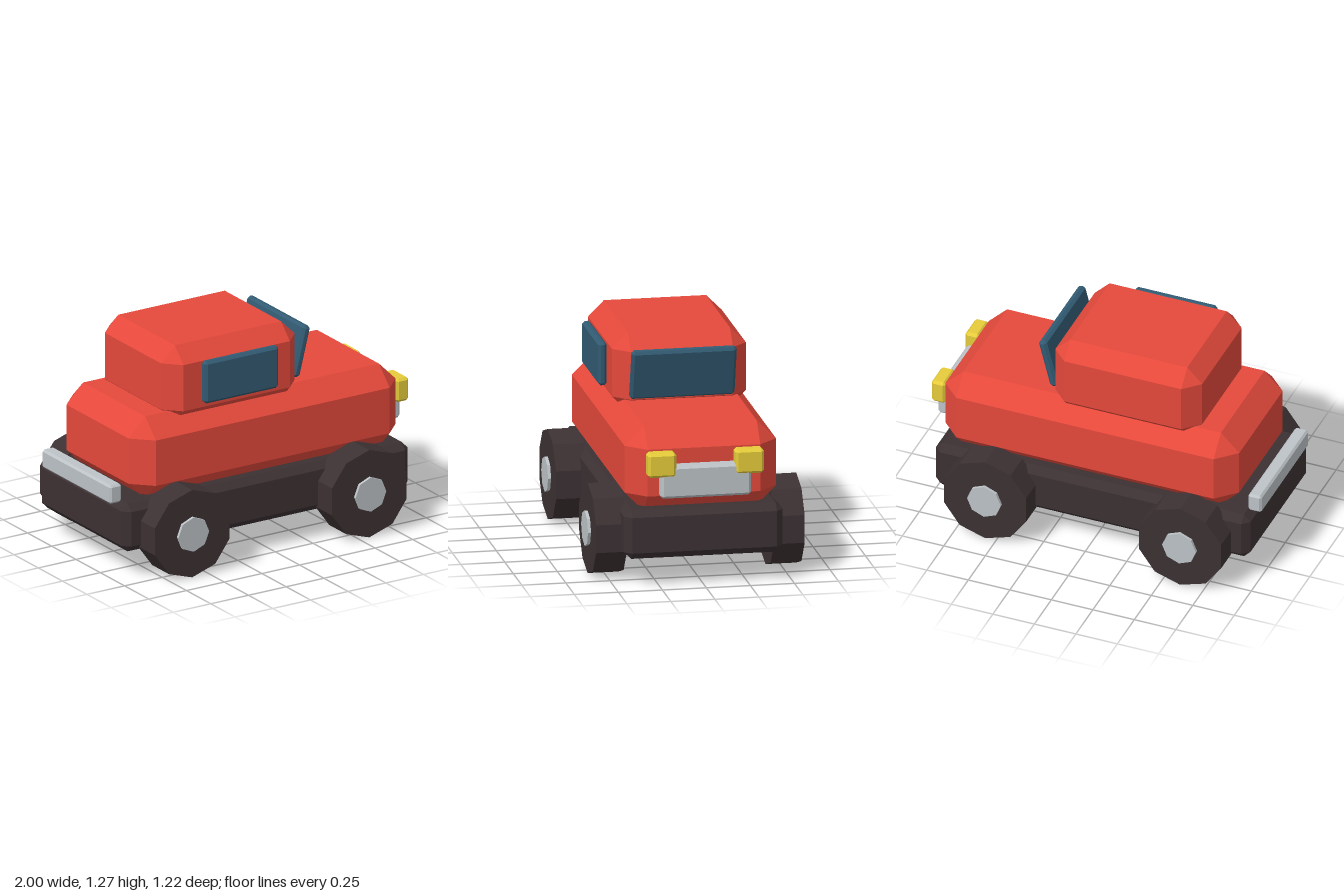
import * as THREE from 'three';
import { ConvexGeometry } from 'three/addons/geometries/ConvexGeometry.js';

function material(name, color) {
  const m = new THREE.MeshStandardMaterial({ color });
  m.name = name;
  return m;
}

// Box with every edge and corner cut by one flat chamfer
function chamferBox(w, h, d, c) {
  const points = [];
  for (const sx of [-1, 1]) for (const sy of [-1, 1]) for (const sz of [-1, 1]) {
    const x = w / 2, y = h / 2, z = d / 2;
    points.push(
      new THREE.Vector3(sx * x, sy * (y - c), sz * (z - c)),
      new THREE.Vector3(sx * (x - c), sy * y, sz * (z - c)),
      new THREE.Vector3(sx * (x - c), sy * (y - c), sz * z)
    );
  }
  return new ConvexGeometry(points);
}

export function createModel() {
  const red = material('red paint', 0xe5493b);
  const dark = material('dark rubber', 0x3c3133);
  const blue = material('blue glass', 0x325b73);
  const grey = material('light metal', 0xbdc3c7);
  const yellow = material('yellow lamp', 0xe6cc3a);
  for (const m of [dark, grey]) m.flatShading = true;

  const model = new THREE.Group();
  model.name = 'car';

  function add(name, geometry, mat, x, y, z) {
    const mesh = new THREE.Mesh(geometry, mat);
    mesh.name = name;
    mesh.position.set(x, y, z);
    model.add(mesh);
    return mesh;
  }

  // Chamfered box given by its [min, max] range on each axis
  function block(name, mat, [x0, x1], [y0, y1], [z0, z1], c) {
    return add(name, chamferBox(x1 - x0, y1 - y0, z1 - z0, c), mat,
      (x0 + x1) / 2, (y0 + y1) / 2, (z0 + z1) / 2);
  }

  // Main shells
  block('chassis', dark, [-0.96, 0.935], [0.16, 0.445], [-0.453, 0.447], 0.04);
  block('body', red, [-0.855, 0.915], [0.41, 0.9], [-0.433, 0.427], 0.11);
  block('cabin', red, [-0.62, 0.265], [0.815, 1.27], [-0.383, 0.377], 0.09);

  // Glass: one side window and a leaning windshield
  block('sideWindow', blue, [-0.42, 0.07], [0.94, 1.19], [0.384, 0.434], 0.015);
  const windshield = add('windshield', chamferBox(0.05, 0.3, 0.595, 0.015), blue, 0.31, 1.063, 0);
  windshield.rotation.z = -0.25;

  // Front and rear fittings
  block('grille', grey, [0.905, 0.99], [0.52, 0.705], [-0.258, 0.255], 0.015);
  block('rearBumper', grey, [-1, -0.92], [0.435, 0.545], [-0.355, 0.35], 0.012);
  block('leftHeadlight', yellow, [0.915, 1], [0.645, 0.785], [-0.33, -0.168], 0.015);
  block('rightHeadlight', yellow, [0.915, 1], [0.645, 0.785], [0.168, 0.33], 0.015);

  // Wheels: ten-sided tyres with eight-sided hubs
  const tyre = new THREE.CylinderGeometry(0.26, 0.26, 0.175, 10).rotateX(Math.PI / 2);
  const hub = new THREE.CylinderGeometry(0.102, 0.102, 0.19, 8).rotateX(Math.PI / 2);
  for (const [end, x] of [['rear', -0.61], ['front', 0.565]]) {
    for (const side of [-1, 1]) {
      const label = side < 0 ? 'Left' : 'Right';
      add(end + label + 'Tyre', tyre, dark, x, 0.26, side * 0.505 - 0.002);
      add(end + label + 'Hub', hub, grey, x, 0.26, side * 0.515 - 0.002);
    }
  }
  return model;
}
